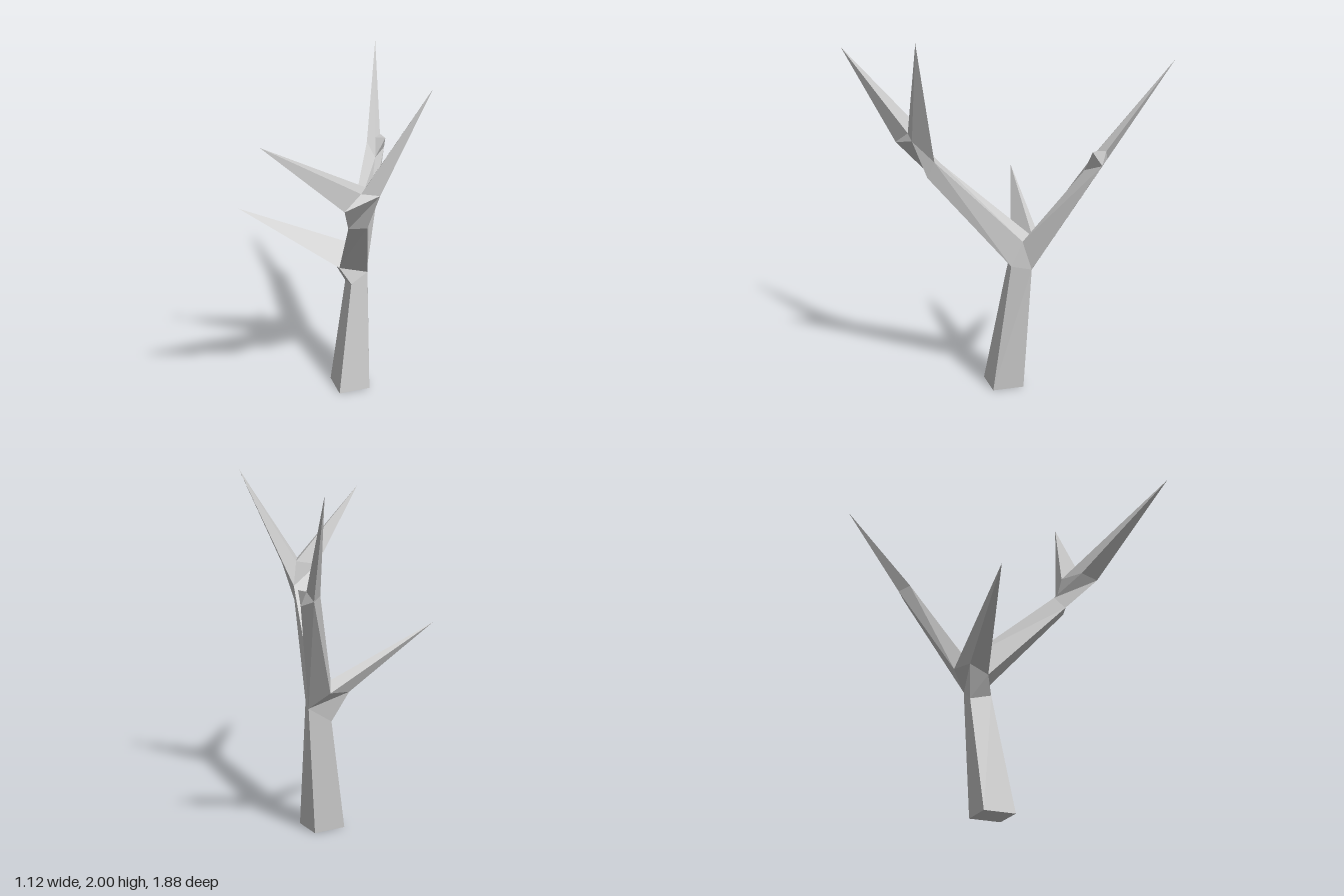
import * as THREE from 'three';

const material = new THREE.MeshStandardMaterial({ color: 0xcccccc, flatShading: true });

// Flat-shaded mesh from triangles and quads (corners counter-clockwise from outside)
function skin(name, faces) {
  const pos = [];
  for (const f of faces) {
    for (let i = 1; i < f.length - 1; i++) pos.push(...f[0], ...f[i], ...f[i + 1]);
  }
  const geo = new THREE.BufferGeometry();
  geo.setAttribute('position', new THREE.Float32BufferAttribute(pos, 3));
  geo.computeVertexNormals();
  const mesh = new THREE.Mesh(geo, material);
  mesh.name = name;
  return mesh;
}

const next = (ring, i) => ring[(i + 1) % ring.length];
// Limb between two cross-sections
const limb = (a, b) => a.map((p, i) => [p, next(a, i), next(b, i), b[i]]);
// Limb tapering to a point
const spike = (ring, tip) => ring.map((p, i) => [p, next(ring, i), tip]);

export function createModel() {
  const tree = new THREE.Group();
  tree.name = 'bareTree';

  // Trunk: front, right, back, left corners
  const base = [[0, 0, 0.03], [0.125, 0, -0.115], [-0.01, 0, -0.235], [-0.135, 0, -0.09]];
  const F = [-0.005, 0.68, -0.115], E = [0.06, 0.745, -0.19];
  const D = [0.005, 0.73, -0.29], L = [-0.095, 0.645, -0.2];
  tree.add(skin('trunk', [...limb(base, [F, E, D, L]), [...base].reverse()]));

  // Collar where the trunk splits three ways
  const P = [-0.077, 0.775, -0.1], Q = [-0.183, 0.81, -0.16], R = [-0.12, 0.825, -0.29];
  const A = [-0.1, 0.885, -0.23], B = [0.015, 0.885, -0.235];
  tree.add(skin('trunkCollar', [[L, F, P, Q], [D, L, Q, R], [F, E, P], [E, D, B]]));

  // Short side branch
  tree.add(skin('sideBranch', spike([R, Q, P, A], [-0.56, 1.16, 0.2])));

  // Front branch and its fork
  const I = [0.19, 1.235, 0.262], J = [0.277, 1.24, 0.215];
  const H = [0.265, 1.33, 0.175], G = [0.162, 1.3, 0.205];
  tree.add(skin('frontBranch', limb([P, E, B, A], [I, J, H, G])));

  const K = [0.268, 1.415, 0.435], M = [0.3, 1.48, 0.325], N = [0.367, 1.455, 0.247];
  const O = [0.265, 1.47, 0.215], S = [0.19, 1.44, 0.37];
  tree.add(skin('frontFork', [[I, J, N, K], [J, H, N], [H, G, S, O], [G, I, K, S], [K, N, M]]));
  tree.add(skin('forkTwigOuter', spike([M, N, H, O], [0.555, 2, 0.07])));
  tree.add(skin('forkTwigFront', spike([O, S, K, M], [0.12, 1.89, 0.935])));

  // Back branch with a small stub
  const W1 = [-0.163, 1.39, -0.572], W2 = [-0.093, 1.31, -0.55];
  const W3 = [-0.09, 1.345, -0.655], W4 = [-0.158, 1.37, -0.65];
  const U = [-0.122, 1.415, -0.605], V = [-0.122, 1.42, -0.66];
  tree.add(skin('backBranch', [...limb([D, R, A, B], [W3, W4, W1, W2]), [W1, W2, U], [W3, W4, V]]));
  tree.add(skin('backTwig', spike([W4, W1, U, V], [-0.315, 1.9, -0.94])));
  tree.add(skin('backStub', spike([W2, W3, V, U], [-0.06, 1.42, -0.612])));

  return tree;
}
